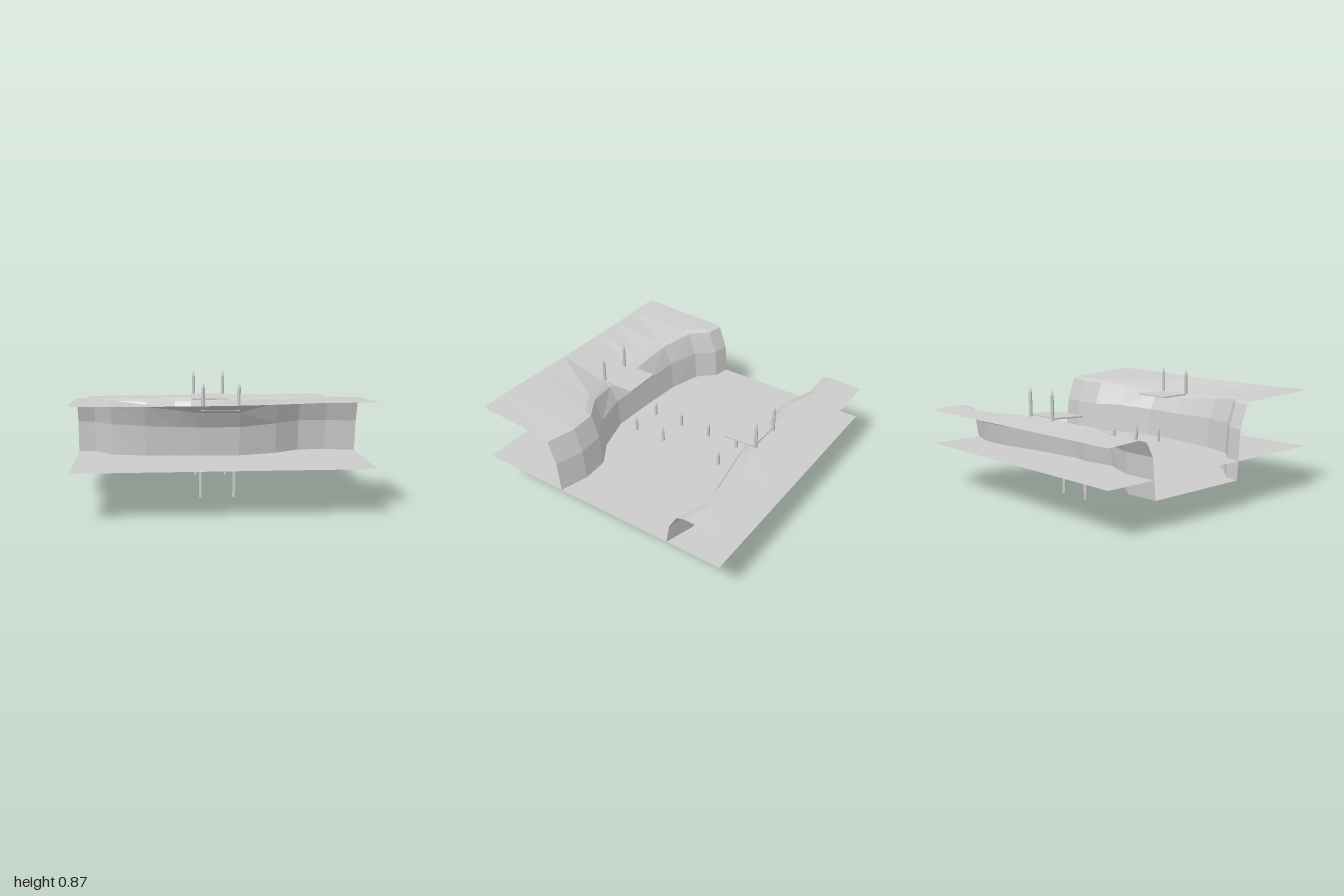
import * as THREE from 'three';

const mat = new THREE.MeshStandardMaterial({ color: 0xcccccc, flatShading: true, side: THREE.DoubleSide });

// Columns along the river; each list below holds one value per column
const X = [-1, -0.88, -0.76, -0.52, -0.28, -0.15, 0.14, 0.41, 0.59, 0.79, 1];
const footY = [0.2, 0.2, 0.2, 0.31, 0.307, 0.305, 0.305, 0.328, 0.334, 0.334, 0.334];
const frontFoot = [0.2, 0.225, 0.35, 0.425, 0.442, 0.45, 0.46, 0.385, 0.27, 0.26, 0.315];
const backFoot = [-0.6, -0.605, -0.61, -0.525, -0.555, -0.535, -0.57, -0.617, -0.65, -0.65, -0.59];
// 1 where the bank is worn down by the crossing, 0 at the ends
const worn = [0, 0, 0, 0.38, 0.75, 1, 1, 0.15, 0, 0, 0];
const frontEdge = [0.762, 0.761, 0.76, 0.758, 0.758, 0.758, 0.76, 0.766, 0.771, 0.772, 0.772];

// Surface through rows of points, one point per column
function loft(name, rows) {
  const n = X.length, pos = [], idx = [];
  rows.forEach(row => row.forEach(([y, z], i) => pos.push(X[i], y, z)));
  for (let r = 0; r < rows.length - 1; r++) {
    for (let i = 0; i < n - 1; i++) {
      const a = r * n + i, b = a + 1, c = a + n, d = c + 1;
      idx.push(a, b, c, b, d, c);
    }
  }
  const g = new THREE.BufferGeometry();
  g.setAttribute('position', new THREE.Float32BufferAttribute(pos, 3));
  g.setIndex(idx);
  g.computeVertexNormals();
  const m = new THREE.Mesh(g, mat);
  m.name = name;
  return m;
}

const row = f => X.map((_, i) => f(i));

// Sharpened stake standing between two heights
function post(name, x, z, bottom, top, lean = 0) {
  const h = top - bottom, r = 0.014, tip = 0.04;
  const profile = [[0, 0], [r, 0], [r * 0.85, h - tip], [0, h]].map(p => new THREE.Vector2(...p));
  const m = new THREE.Mesh(new THREE.LatheGeometry(profile, 7), mat);
  m.position.set(x, bottom, z);
  m.rotation.z = lean;
  m.name = name;
  return m;
}

function platform(name, z, y, tilt) {
  const m = new THREE.Mesh(new THREE.BoxGeometry(0.285, 0.01, 0.25), mat);
  m.position.set(-0.003, y, z);
  m.rotation.x = tilt;
  m.name = name;
  return m;
}

export function createModel() {
  const group = new THREE.Group();

  // Water sheet
  const water = new THREE.Mesh(new THREE.PlaneGeometry(2, 2), mat);
  water.rotation.x = -Math.PI / 2;
  water.position.y = 0.335;
  water.name = 'water';
  group.add(water);

  // River bed between the feet of both banks
  group.add(loft('riverBed', [
    row(i => [footY[i], backFoot[i]]),
    row(i => [footY[i], frontFoot[i]]),
  ]));

  // Banks: foot, wall, shoulder, lip and outer edge
  group.add(loft('frontBank', [
    row(i => [footY[i], frontFoot[i]]),
    row(i => [0.555 - 0.015 * worn[i], frontFoot[i] + 0.025]),
    row(i => [0.722 - 0.072 * worn[i], frontFoot[i] + 0.088]),
    row(i => [0.74 - 0.065 * worn[i], frontFoot[i] + 0.14]),
    row(i => [frontEdge[i], 1]),
  ]));
  group.add(loft('backBank', [
    row(i => [0.592, -1]),
    row(i => [0.605 + 0.015 * worn[i], backFoot[i] - 0.145]),
    row(i => [0.585, backFoot[i] - 0.08]),
    row(i => [0.485, backFoot[i] - 0.025]),
    row(i => [footY[i], backFoot[i]]),
  ]));

  // Landing boards left at each end of the crossing
  group.add(platform('frontLanding', 0.475, 0.677, 0));
  group.add(platform('backLanding', -0.597, 0.626, 0.05));

  // Stakes in pairs: z, bottom, top
  const pairs = [
    [0.615, 0.675, 0.873], [0.315, 0, 0.46], [0.07, 0.31, 0.46],
    [-0.18, 0.31, 0.46], [-0.43, 0.005, 0.46], [-0.725, 0.615, 0.83],
  ];
  pairs.forEach(([z, bottom, top], i) => {
    group.add(post('rightPost' + (i + 1), -0.123, z, bottom, top));
    // One stake of the fourth pair is missing
    if (i !== 3) group.add(post('leftPost' + (i + 1), 0.12, z, bottom, top, -0.015));
  });

  return group;
}
